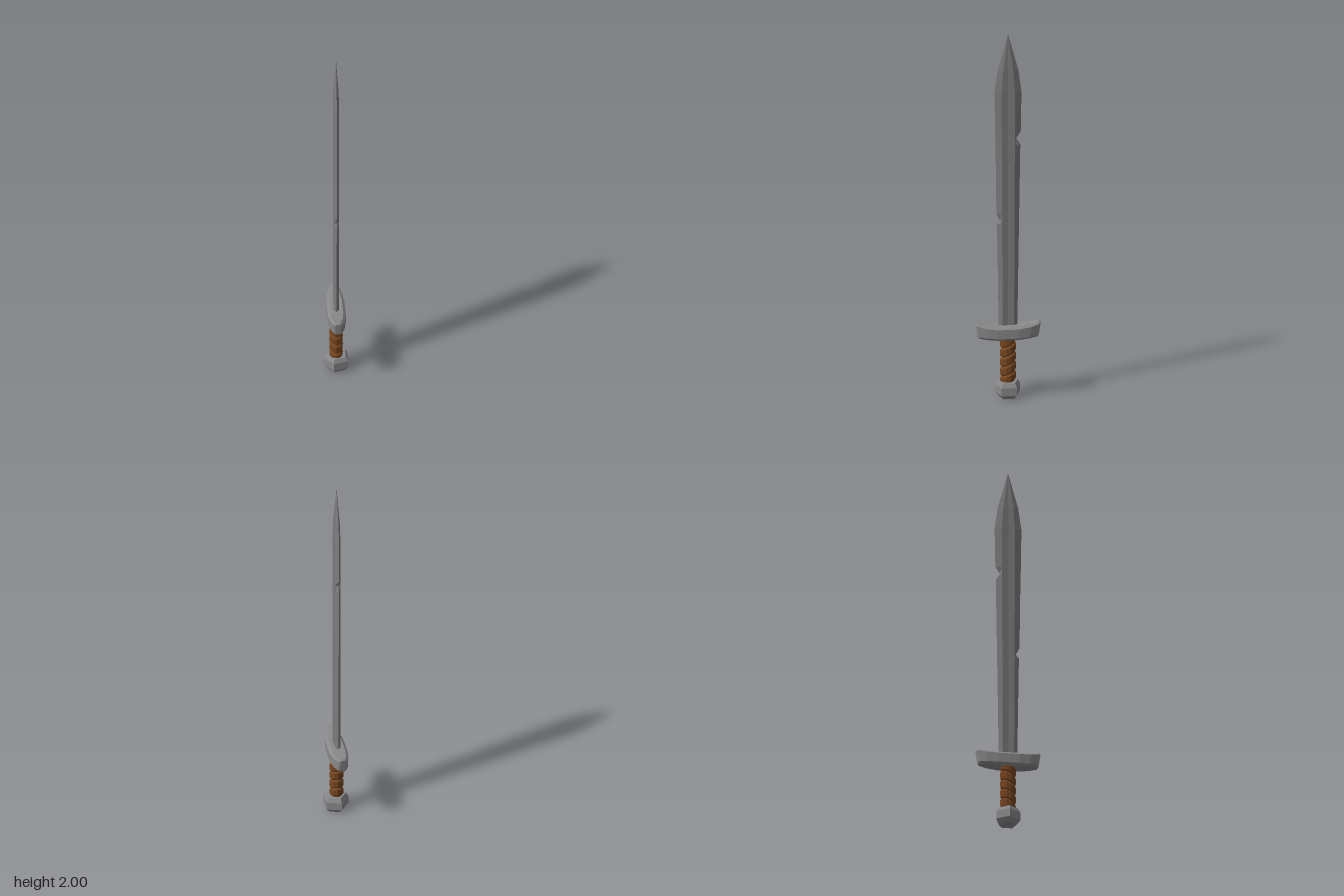
import * as THREE from 'three';

// Faceted normals: every face gets its own vertices
function faceted(geometry) {
  const g = geometry.index ? geometry.toNonIndexed() : geometry;
  g.computeVertexNormals();
  return g;
}

// Skin a series of rings (each counter-clockwise about the loft axis) and cap both ends
function loft(rings) {
  const n = rings[0].length;
  const index = [];
  for (let r = 0; r < rings.length - 1; r++) {
    for (let i = 0; i < n; i++) {
      const j = (i + 1) % n;
      const a = r * n + i, b = r * n + j, c = a + n, d = b + n;
      index.push(a, b, d, a, d, c);
    }
  }
  const last = (rings.length - 1) * n;
  for (let i = 1; i < n - 1; i++) {
    index.push(0, i + 1, i, last, last + i, last + i + 1);
  }
  const g = new THREE.BufferGeometry();
  g.setAttribute('position', new THREE.Float32BufferAttribute(rings.flat(2), 3));
  g.setIndex(index);
  return faceted(g);
}

function lathe(profile, sides, start = 0) {
  const points = profile.map(([r, y]) => new THREE.Vector2(r, y));
  return new THREE.LatheGeometry(points, sides, start);
}

function add(parent, name, geometry, material) {
  const mesh = new THREE.Mesh(geometry, material);
  mesh.name = name;
  parent.add(mesh);
  return mesh;
}

// Blade with a shallow fuller and one nick in each edge
function bladeGeometry() {
  // y, edge at +z, edge at -z, half thickness, ridge offset
  const rows = [
    [0.36, 0.048, 0.048, 0.014, 0.03],
    [0.95, 0.057, 0.057, 0.014, 0.032],
    [0.97, 0.042, 0.057, 0.014, 0.032],
    [1.01, 0.060, 0.058, 0.014, 0.032],
    [1.39, 0.065, 0.064, 0.014, 0.034],
    [1.425, 0.066, 0.043, 0.014, 0.034],
    [1.46, 0.067, 0.066, 0.014, 0.034],
    [1.68, 0.070, 0.070, 0.014, 0.035],
    [1.80, 0.054, 0.054, 0.012, 0.026],
    [1.997, 0.001, 0.001, 0.001, 0.0005],
  ];
  return loft(rows.map(([y, front, back, t, r]) => {
    const f = t * 0.75;
    return [
      [0, y, front], [t, y, r], [f, y, 0], [t, y, -r],
      [0, y, -back], [-t, y, -r], [-f, y, 0], [-t, y, r],
    ];
  }));
}

// Bevelled crossguard, tapered and curving up at both ends
function guardGeometry() {
  // z, half width, bottom, top, bevel
  const half = [
    [0.055, 0.047, 0.320, 0.396, 0.013],
    [0.115, 0.038, 0.324, 0.402, 0.012],
    [0.157, 0.023, 0.329, 0.411, 0.010],
    [0.163, 0.014, 0.335, 0.406, 0.007],
  ];
  const mirrored = half.map(([z, ...rest]) => [-z, ...rest]).reverse();
  return loft([...mirrored, ...half].map(([z, w, y0, y1, b]) => {
    const section = [
      [w, y0 + b], [w, y1 - b], [w - b, y1], [b - w, y1],
      [-w, y1 - b], [-w, y0 + b], [b - w, y0], [w - b, y0],
    ];
    return section.map(([x, y]) => [x, y, z * (1 + (y - 0.37) * 0.9)]);
  }));
}

// One strap of the grip, slanting up toward the back
function strapGeometry() {
  const g = lathe([[0.029, -0.028], [0.035, -0.02], [0.036, 0.014], [0.029, 0.025]], 10);
  const p = g.attributes.position;
  for (let i = 0; i < p.count; i++) {
    const z = p.getZ(i) * 1.15;
    p.setXYZ(i, p.getX(i), p.getY(i) - z * 0.42, z);
  }
  return faceted(g);
}

export function createModel() {
  const steel = new THREE.MeshStandardMaterial({ color: 0x7c7c7c });
  const fittings = new THREE.MeshStandardMaterial({ color: 0x8a8a8a });
  const leather = new THREE.MeshStandardMaterial({ color: 0x774620 });

  const sword = new THREE.Group();
  sword.name = 'sword';
  add(sword, 'blade', bladeGeometry(), steel);
  add(sword, 'crossguard', guardGeometry(), fittings);

  // Grip: core with overlapping straps
  const grip = new THREE.Group();
  grip.name = 'grip';
  sword.add(grip);
  const core = add(grip, 'gripCore', faceted(new THREE.CylinderGeometry(0.03, 0.03, 0.27, 10)), leather);
  core.position.y = 0.205;
  core.scale.z = 1.15;
  const strap = strapGeometry();
  for (let i = 0; i < 5; i++) {
    add(grip, 'gripStrap', strap, leather).position.y = 0.105 + i * 0.052;
  }

  // Five-sided pommel with a point toward -x
  const pommel = add(sword, 'pommel', faceted(lathe(
    [[0, 0], [0.048, 0], [0.067, 0.022], [0.067, 0.065], [0.054, 0.088], [0, 0.088]],
    5, -Math.PI / 2)), fittings);
  pommel.position.x = 0.005;

  return sword;
}
